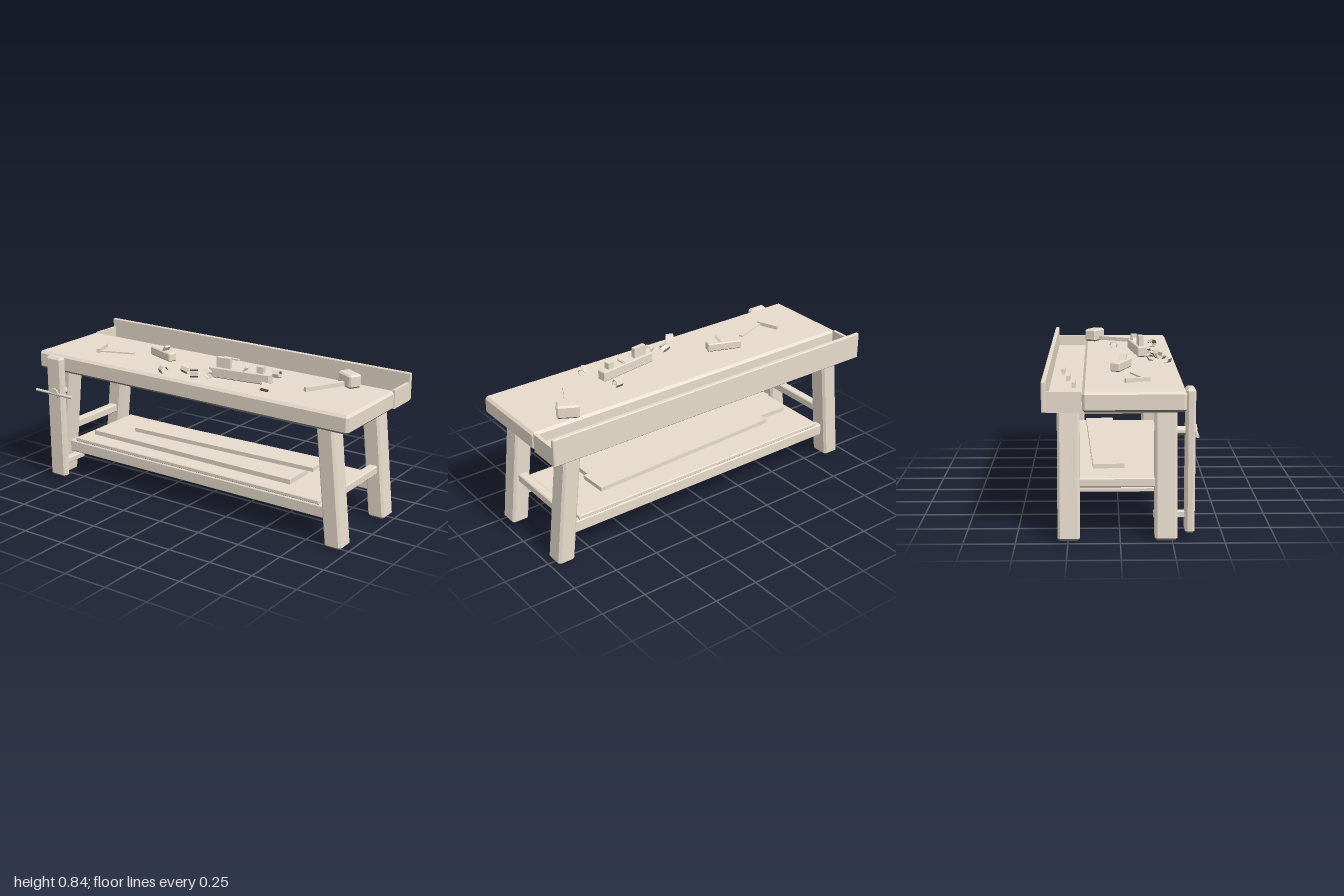
import * as THREE from 'three';
import { ConvexGeometry } from 'three/addons/geometries/ConvexGeometry.js';

function material(name, color) {
  const m = new THREE.MeshStandardMaterial({ color, flatShading: true });
  m.name = name;
  return m;
}
const woods = [material('paleWood', 0xe6dbcb), material('darkRawWood', 0x857e76)];

// Gives the downward faces of a part the dark raw wood, all others the pale wood
function splitUnderside(source) {
  const geo = source.index ? source.toNonIndexed() : source;
  geo.computeVertexNormals();
  geo.clearGroups();
  const n = geo.attributes.normal;
  for (let i = 0; i < n.count; i += 3) geo.addGroup(i, 3, n.getY(i) < -0.3 ? 1 : 0);
  return geo;
}

// Box with every edge chamfered by c; lean shifts x with height
function chamferBox(w, h, d, c, lean = 0) {
  const pts = [];
  const corner = (x, y, z) => pts.push(new THREE.Vector3(x - lean * y, y, z));
  for (const sx of [-1, 1]) for (const sy of [-1, 1]) for (const sz of [-1, 1]) {
    const x = w / 2, y = h / 2, z = d / 2;
    corner(sx * x, sy * (y - c), sz * (z - c));
    corner(sx * (x - c), sy * y, sz * (z - c));
    corner(sx * (x - c), sy * (y - c), sz * z);
  }
  return new ConvexGeometry(pts);
}

function add(parent, name, geo, x, y, z) {
  const m = new THREE.Mesh(splitUnderside(geo), woods);
  m.name = name;
  m.position.set(x, y, z);
  parent.add(m);
  return m;
}

// Block given by its limits on each axis, chamfered when c > 0
function block(parent, name, [x0, x1], [y0, y1], [z0, z1], c = 0) {
  const w = x1 - x0, h = y1 - y0, d = z1 - z0;
  const geo = c ? chamferBox(w, h, d, c) : new THREE.BoxGeometry(w, h, d);
  return add(parent, name, geo, (x0 + x1) / 2, (y0 + y1) / 2, (z0 + z1) / 2);
}

function group(parent, name, x, y, z, turn = 0) {
  const g = new THREE.Group();
  g.name = name;
  g.position.set(x, y, z);
  g.rotation.y = turn;
  parent.add(g);
  return g;
}

const TOP = 0.734;

function buildBench(root) {
  block(root, 'benchTop', [-1, 1], [0.635, TOP], [-0.18, 0.311], 0.013);

  // Tool tray behind the top
  block(root, 'trayFloor', [-0.985, 0.985], [0.638, 0.672], [-0.35, -0.178]);
  block(root, 'backBoard', [-1, 1], [0.635, 0.784], [-0.37, -0.348], 0.004);
  for (const s of [-1, 1])
    add(root, 'trayEnd', new THREE.BoxGeometry(0.018, 0.099, 0.168), s * 0.989, 0.6845, -0.265);

  // Splayed legs with level ends, and end stretchers
  for (const s of [-1, 1]) {
    for (const z of [0.22, -0.247])
      add(root, z > 0 ? 'frontLeg' : 'backLeg', chamferBox(0.097, 0.635, 0.108, 0.012, s * 0.107), s * 0.883, 0.3185, z);
    add(root, 'endStretcher', chamferBox(0.05, 0.046, 0.42, 0.005), s * 0.887, 0.276, -0.013);
  }

  // Long rails, shelf and spare planks
  for (const z of [0.22, -0.247])
    add(root, 'longRail', chamferBox(1.7, 0.066, 0.05, 0.005), 0, 0.172, z);
  block(root, 'shelf', [-0.812, 0.812], [0.203, 0.226], [-0.265, 0.238], 0.004);
  block(root, 'lowerPlank', [-0.755, 0.578], [0.226, 0.252], [-0.045, 0.137]);
  block(root, 'upperPlank', [-0.544, 0.622], [0.256, 0.279], [-0.155, 0.005]).rotation.y = 0.04;
}

function buildVise(root) {
  const vise = group(root, 'legVise', -0.851, 0, 0);
  const rod = (radius, length) => new THREE.CylinderGeometry(radius, radius, length, 20);
  block(vise, 'viseJaw', [-0.055, 0.055], [0.018, 0.731], [0.314, 0.361], 0.012);
  add(vise, 'viseScrew', rod(0.023, 0.16).rotateX(Math.PI / 2), 0, 0.518, 0.26);
  add(vise, 'viseHub', rod(0.032, 0.012).rotateX(Math.PI / 2), 0, 0.518, 0.363);
  add(vise, 'viseHandle', rod(0.008, 0.265).rotateZ(Math.PI / 2), 0, 0.518, 0.363);
  block(vise, 'viseGuide', [-0.005, 0.035], [0.085, 0.116], [0.163, 0.32], 0.003);
}

function buildTools(root) {
  // Mallet
  const mallet = group(root, 'mallet', 0.764, TOP, -0.125, -0.5);
  block(mallet, 'malletHead', [-0.059, 0.059], [0, 0.071], [-0.037, 0.037], 0.009);
  block(mallet, 'malletHandle', [-0.012, 0.012], [0.006, 0.028], [0.02, 0.265]);

  // Long hand plane
  const plane = group(root, 'longPlane', 0.25, TOP, 0.117, 0.14);
  block(plane, 'planeBody', [-0.174, 0.174], [0, 0.055], [-0.027, 0.027], 0.004);
  block(plane, 'planeGrip', [-0.135, -0.055], [0.055, 0.11], [-0.013, 0.013]);
  block(plane, 'planeKnob', [0.1, 0.135], [0.055, 0.09], [-0.016, 0.016]);
  block(plane, 'planeIron', [0.02, 0.03], [0.03, 0.082], [-0.019, 0.019]).rotation.z = -0.7;

  // Small hand plane
  const small = group(root, 'smallPlane', -0.336, TOP, 0.015, -0.35);
  block(small, 'smallPlaneBody', [-0.097, 0.097], [0, 0.047], [-0.025, 0.025], 0.005);
  block(small, 'smallPlaneIron', [0.02, 0.032], [0.025, 0.08], [-0.018, 0.018]).rotation.z = -0.7;

  // Try square
  const square = group(root, 'trySquare', -0.703, TOP, 0.138, 0.34);
  block(square, 'squareStock', [-0.011, 0.011], [0, 0.02], [-0.118, 0.01]);
  block(square, 'squareBlade', [0.011, 0.212], [0.004, 0.012], [-0.011, 0.01]);

  // Chisels lying in the tray
  for (let i = 0; i < 3; i++)
    add(root, 'chisel', new THREE.BoxGeometry(0.1, 0.028, 0.02), -0.502 + i * 0.209, 0.686, -0.228 - i * 0.032);
}

// Curled wood shavings: faceted open rolls with a little thickness
function buildShavings(root) {
  const arc = (r) => Array.from({ length: 6 }, (_, i) => new THREE.Vector2(r * Math.cos(i), r * Math.sin(i)));
  const section = new THREE.Shape([...arc(0.023), ...arc(0.019).reverse()]);
  const spots = [[-0.147, 0.262], [-0.056, 0.183], [0.024, 0.22], [0.09, 0.185], [0.39, -0.015], [0.46, 0.21]];
  spots.forEach(([x, z], i) => {
    const roll = new THREE.ExtrudeGeometry(section, { depth: 0.042, bevelEnabled: false });
    roll.translate(0, 0, -0.021).rotateZ(i * 1.3).rotateX(0.25 * (i % 2)).rotateY(1.07 + (i % 3) * 0.55);
    add(root, 'shaving', roll, x, TOP + 0.023, z);
  });
}

export function createModel() {
  const root = new THREE.Group();
  root.name = 'workbench';
  buildBench(root);
  buildVise(root);
  buildTools(root);
  buildShavings(root);
  return root;
}
